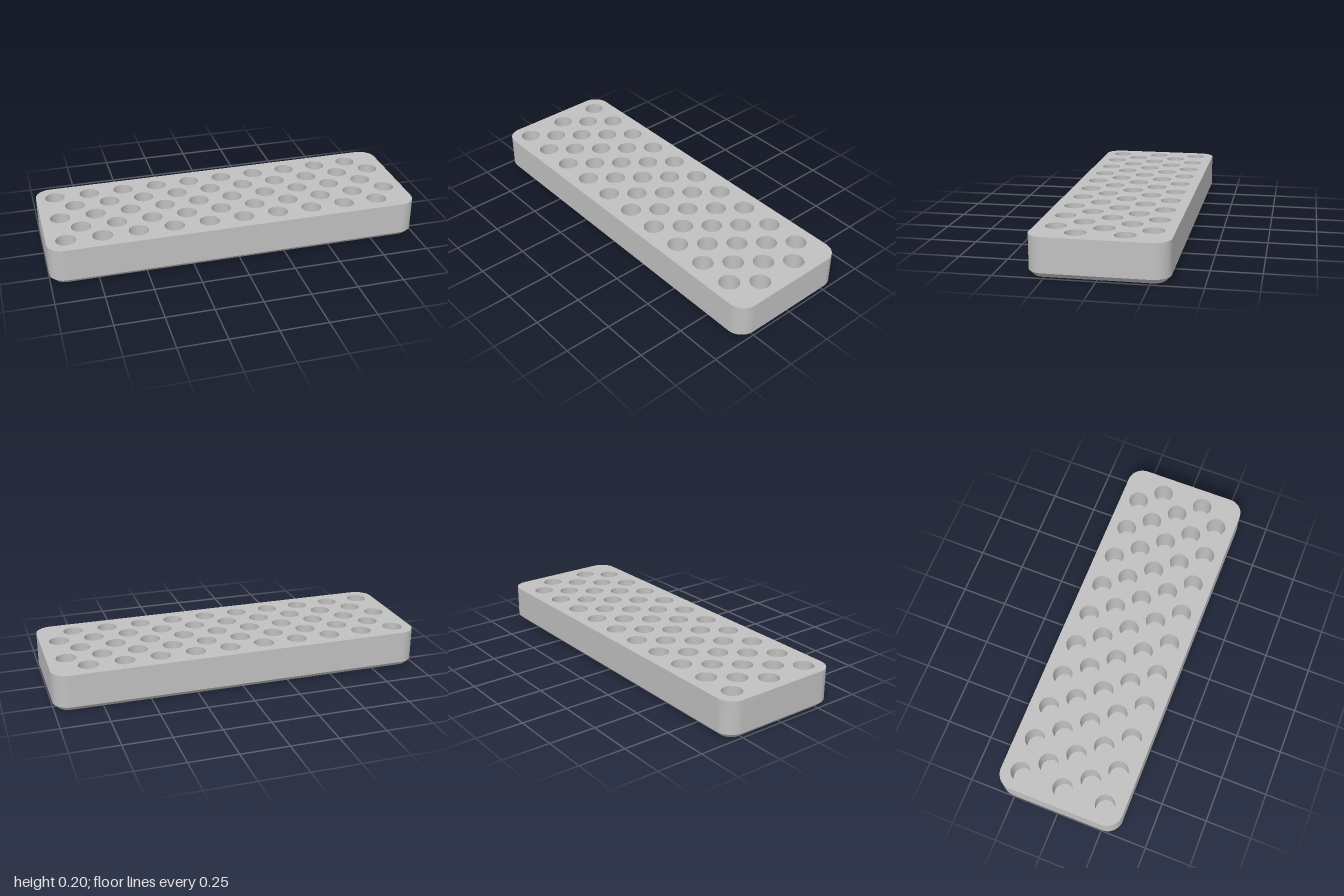
import * as THREE from 'three';
import { mergeGeometries } from 'three/addons/utils/BufferGeometryUtils.js';

const HALF_W = 1, HALF_D = 0.34, TOP = 0.2, CHAMFER = 0.025, CORNER = 0.085;
const HOLE_R = 0.053, HOLE_FLOOR = 0.05, PITCH = 0.189, ROW = 0.118, SIDES = 32;

// Rounded rectangle outline, counter-clockwise, pulled in by inset
function outline(inset) {
  const r = CORNER - inset, cx = HALF_W - CORNER, cy = HALF_D - CORNER, steps = 10;
  const points = [];
  [[1, 1], [-1, 1], [-1, -1], [1, -1]].forEach(([sx, sy], q) => {
    for (let i = 0; i <= steps; i++) {
      const a = (q + i / steps) * Math.PI / 2;
      points.push(new THREE.Vector2(sx * cx + r * Math.cos(a), sy * cy + r * Math.sin(a)));
    }
  });
  return points;
}

// Closed wall between two outlines at two heights
function band(lower, y0, upper, y1) {
  const n = lower.length, pos = [], index = [];
  lower.forEach((p) => pos.push(p.x, y0, -p.y));
  upper.forEach((p) => pos.push(p.x, y1, -p.y));
  for (let i = 0; i < n; i++) {
    const j = (i + 1) % n;
    index.push(i, j, n + j, i, n + j, n + i);
  }
  const g = new THREE.BufferGeometry();
  g.setAttribute('position', new THREE.Float32BufferAttribute(pos, 3));
  g.setIndex(index);
  g.computeVertexNormals();
  return g;
}

// Five staggered rows of ten holes
function holeCentres() {
  const centres = [];
  for (let row = 0; row < 5; row++) {
    for (let col = 0; col < 10; col++) {
      centres.push([-0.898 + col * PITCH + (row % 2) * PITCH / 2, (row - 2) * ROW]);
    }
  }
  return centres;
}

export function createModel() {
  const model = new THREE.Group();
  model.name = 'perforatedBlock';
  const grey = new THREE.MeshStandardMaterial({ color: 0xc0c0c0 });
  grey.name = 'grey';
  const add = (name, geometry) => {
    const mesh = new THREE.Mesh(geometry, grey);
    mesh.name = name;
    model.add(mesh);
  };

  const outer = outline(0), inner = outline(CHAMFER), centres = holeCentres();

  // Outer walls, bottom chamfer and underside
  add('sideWalls', band(outer, CHAMFER, outer, TOP));
  add('bottomChamfer', band(inner, 0, outer, CHAMFER));
  add('underside', new THREE.ShapeGeometry(new THREE.Shape(inner)).rotateX(Math.PI / 2));

  // Top face pierced by the holes
  const top = new THREE.Shape(outer);
  for (const [x, z] of centres) {
    const ring = [];
    for (let i = 0; i < SIDES; i++) {
      const a = -i / SIDES * Math.PI * 2;
      ring.push(new THREE.Vector2(x + HOLE_R * Math.cos(a), -z + HOLE_R * Math.sin(a)));
    }
    top.holes.push(new THREE.Path(ring));
  }
  add('topFace', new THREE.ShapeGeometry(top).rotateX(-Math.PI / 2).translate(0, TOP, 0));

  // Blind holes: inward-facing wall and flat floor
  const wall = new THREE.LatheGeometry(
    [new THREE.Vector2(HOLE_R, TOP), new THREE.Vector2(HOLE_R, HOLE_FLOOR)], SIDES);
  const floor = new THREE.CircleGeometry(HOLE_R, SIDES)
    .rotateX(-Math.PI / 2).translate(0, HOLE_FLOOR, 0);
  const socket = mergeGeometries([wall, floor]);
  add('holes', mergeGeometries(centres.map(([x, z]) => socket.clone().translate(x, 0, z))));

  return model;
}
